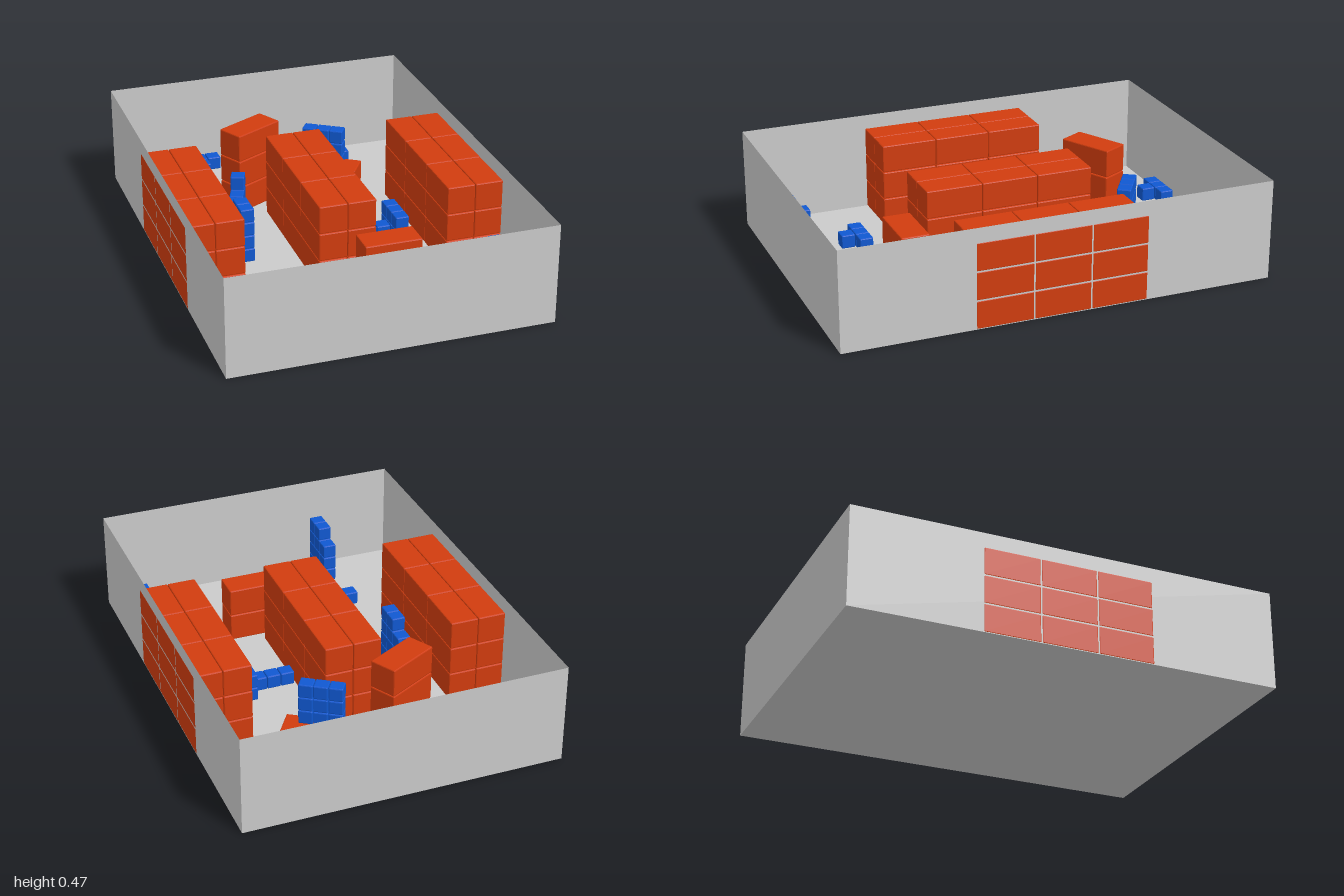
import * as THREE from 'three';
import { RoundedBoxGeometry } from 'three/addons/geometries/RoundedBoxGeometry.js';

const U = 1 / 15;      // grid unit: a cube is 1 x 1 x 1, a crate 2 x 2 x 4
const GAP = 0.002;     // small clearance between neighbouring boxes

function material(name, color, side = THREE.FrontSide) {
  return new THREE.MeshStandardMaterial({ name, color, side });
}

// Box with small flat chamfers
function chamferBox(w, h, d) {
  const g = new RoundedBoxGeometry(w * U - GAP, h * U - GAP, d * U - GAP, 1, 0.005);
  g.computeVertexNormals();
  return g;
}

export function createModel() {
  const model = new THREE.Group();
  model.name = 'warehouse';
  const grey = material('wall grey', 0xcacaca, THREE.DoubleSide);
  const orange = material('crate orange', 0xd03c0e);
  const blue = material('cube blue', 0x1058d0);
  const crateGeo = chamferBox(2, 2, 4);
  const cubeGeo = chamferBox(1, 1, 1);

  function add(parent, name, geo, mat, x, y, z) {
    const mesh = new THREE.Mesh(geo, mat);
    mesh.name = name;
    mesh.position.set(x, y, z);
    parent.add(mesh);
    return mesh;
  }

  function group(name, x = 0, y = 0, z = 0, turn = 0) {
    const g = new THREE.Group();
    g.name = name;
    g.position.set(x, y, z);
    g.rotation.y = turn;
    model.add(g);
    return g;
  }

  // Open-topped room: a box without its top face
  const shell = new THREE.BoxGeometry(22 * U, 7 * U, 30 * U);
  const faces = Array.from(shell.index.array);
  faces.splice(12, 6);
  shell.setIndex(faces);
  shell.clearGroups();
  add(model, 'room', shell, grey, 0, 3.5 * U, 0);

  // Three blocks of crates, 2 wide, 3 high and 3 long; the outer ones sit in the side walls
  for (const side of [-1, 0, 1]) {
    const block = group('crateBlock', side * (9 * U + GAP));
    for (const i of [-1, 1])
      for (const j of [0, 1, 2])
        for (const k of [-1, 0, 1])
          add(block, 'crate', crateGeo, orange, i * U, (2 * j + 1) * U, k * 4 * U);
  }

  // Free-standing crate piles: x, z, turn, number of crates
  const piles = [
    [-0.167, -0.545, Math.PI / 2 + 0.49, 3],
    [0.25, -0.555, Math.PI / 2 - 0.58, 1],
    [0.153, 0.507, Math.PI / 2, 2],
  ];
  for (const [x, z, turn, count] of piles) {
    const pile = group('cratePile', x, 0, z, turn);
    for (let j = 0; j < count; j++) add(pile, 'crate', crateGeo, orange, 0, (2 * j + 1) * U, 0);
  }

  // Cube heaps made of columns: [x, z, height] in grid units
  function heap(x, y, z, turn, columns) {
    const g = group('cubeHeap', x, y, z, turn);
    for (const [cx, cz, height] of columns)
      for (let j = 0; j < height; j++)
        add(g, 'cube', cubeGeo, blue, cx * U, (j + 0.5) * U, cz * U);
  }

  // Against the back wall
  heap(-0.307, 0, -14.5 * U, 0, [[-1, 0, 1], [0, 0, 1], [1, 0, 1], [0, 1, 1]]);
  heap(0.392, 0, -13.5 * U, 0, [[0, -1, 1], [0, 0, 1], [0, 1, 1], [-1, 0, 1]]);
  // On top of the single turned crate
  heap(0.205, 2 * U, -0.545, -0.58, [[-1, 0, 3], [0, 0, 3], [1, 0, 3]]);
  // Left aisle
  heap(-0.322, 0, -0.243, -0.37, [[0, -1, 4], [0, 0, 3], [0, 1, 3]]);
  heap(-0.36, 0, -0.035, 0, [[0, -1, 3], [0, 0, 4], [0, 1, 4]]);
  // Right aisle
  heap(0.37, 0, 0.008, 0, [[0, -1, 2], [0, 0, 2], [0, 1, 2], [-1, 0, 1], [-2, 0, 1], [-3, 0, 1]]);
  // Front area
  heap(-0.307, 0, 0.573, 0, [[-1, 0, 1], [0, 0, 1], [1, 0, 1], [0, 1, 1]]);
  heap(-0.36, 0, 13.5 * U, 0, [[0, -1, 3], [0, 0, 4], [0, 1, 4]]);
  heap(10.5 * U, 0, 6.5 * U, 0, [[0, 0, 2], [-1, 0, 1], [0, 1, 1]]);
  heap(10.5 * U, 0, 14.5 * U, 0, [[0, 0, 4], [0, -1, 3], [-1, 0, 2], [-1, -1, 1], [-2, 0, 1]]);

  return model;
}
